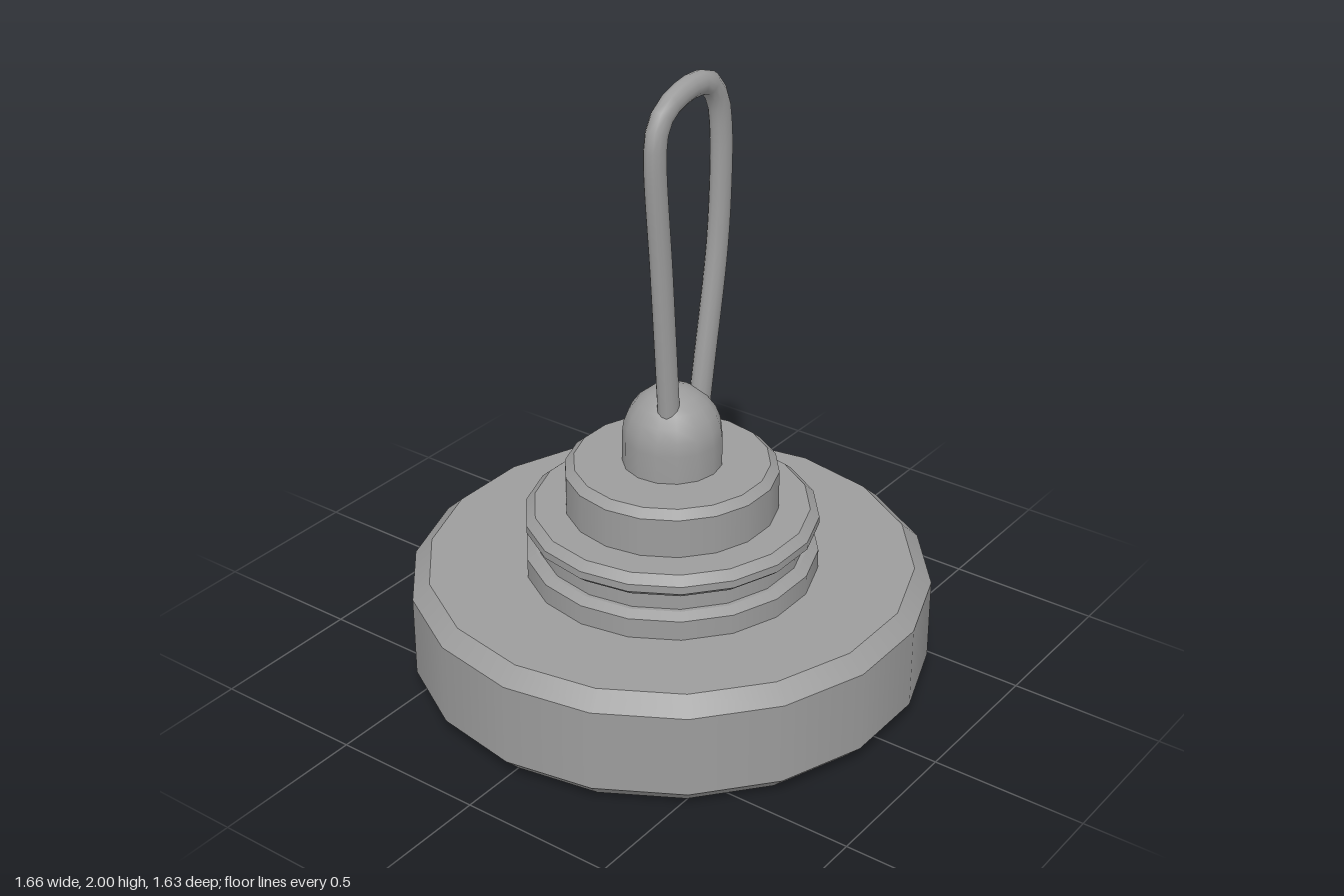
import * as THREE from 'three';
import { mergeGeometries } from 'three/addons/utils/BufferGeometryUtils.js';

const material = new THREE.MeshStandardMaterial({ color: 0x9c9c9c });

// Turned solid: smooth around the axis, sharp at every profile corner.
function turned(name, profile) {
  const strips = [];
  for (let i = 0; i < profile.length - 1; i++) {
    const pair = [profile[i], profile[i + 1]].map(([r, y]) => new THREE.Vector2(r, y));
    strips.push(new THREE.LatheGeometry(pair, 18, Math.PI / 2));
  }
  const geometry = mergeGeometries(strips);
  geometry.normalizeNormals();
  const mesh = new THREE.Mesh(geometry, material);
  mesh.name = name;
  return mesh;
}

export function createModel() {
  const model = new THREE.Group();
  model.name = 'weightWithLoop';

  // Wide chamfered base; the underside has a groove and a central recess
  model.add(turned('base', [
    [0, 0.05], [0.5, 0.05], [0.5, 0], [0.61, 0], [0.61, 0.05], [0.685, 0.05], [0.685, 0],
    [0.775, 0], [0.83, 0.055], [0.83, 0.325], [0.775, 0.375], [0, 0.375],
  ]));

  // Stacked neck, slightly off the base axis
  const neck = new THREE.Group();
  neck.name = 'neck';
  neck.position.set(-0.023, 0, 0.021);
  neck.add(turned('groovedCollar', [
    [0.464, 0.37], [0.464, 0.44], [0.435, 0.458], [0.422, 0.458], [0.422, 0.515],
    [0.438, 0.515], [0.464, 0.537], [0.464, 0.562], [0.435, 0.587], [0, 0.587],
  ]));
  neck.add(turned('upperTier', [
    [0.336, 0.58], [0.336, 0.715], [0.308, 0.739], [0, 0.739],
  ]));

  // Smooth domed knob
  const dome = [new THREE.Vector2(0.157, 0.735)];
  for (let i = 0; i <= 6; i++) {
    const a = (i / 6) * Math.PI / 2;
    dome.push(new THREE.Vector2(0.157 * Math.cos(a), 0.83 + 0.167 * Math.sin(a)));
  }
  const domeGeometry = new THREE.LatheGeometry(dome, 15);
  domeGeometry.normalizeNormals();
  const knob = new THREE.Mesh(domeGeometry, material);
  knob.name = 'knob';
  knob.position.z = 0.003;
  neck.add(knob);
  model.add(neck);

  // Tall, uneven loop rooted in the knob, a little flattened front to back
  const path = new THREE.CatmullRomCurve3([
    [-0.087, 0.88], [-0.097, 1.02], [-0.127, 1.42], [-0.157, 1.8], [-0.147, 1.87],
    [-0.112, 1.92], [-0.04, 1.951], [0.035, 1.961], [0.105, 1.946], [0.15, 1.885],
    [0.168, 1.79], [0.169, 1.62], [0.152, 1.4], [0.088, 1.03], [0.062, 0.88],
  ].map(([x, y]) => new THREE.Vector3(x, y, 0)));
  const loop = new THREE.Mesh(new THREE.TubeGeometry(path, 48, 0.038, 12), material);
  loop.name = 'loop';
  loop.scale.z = 0.86;
  loop.position.z = 0.06;
  model.add(loop);

  return model;
}
